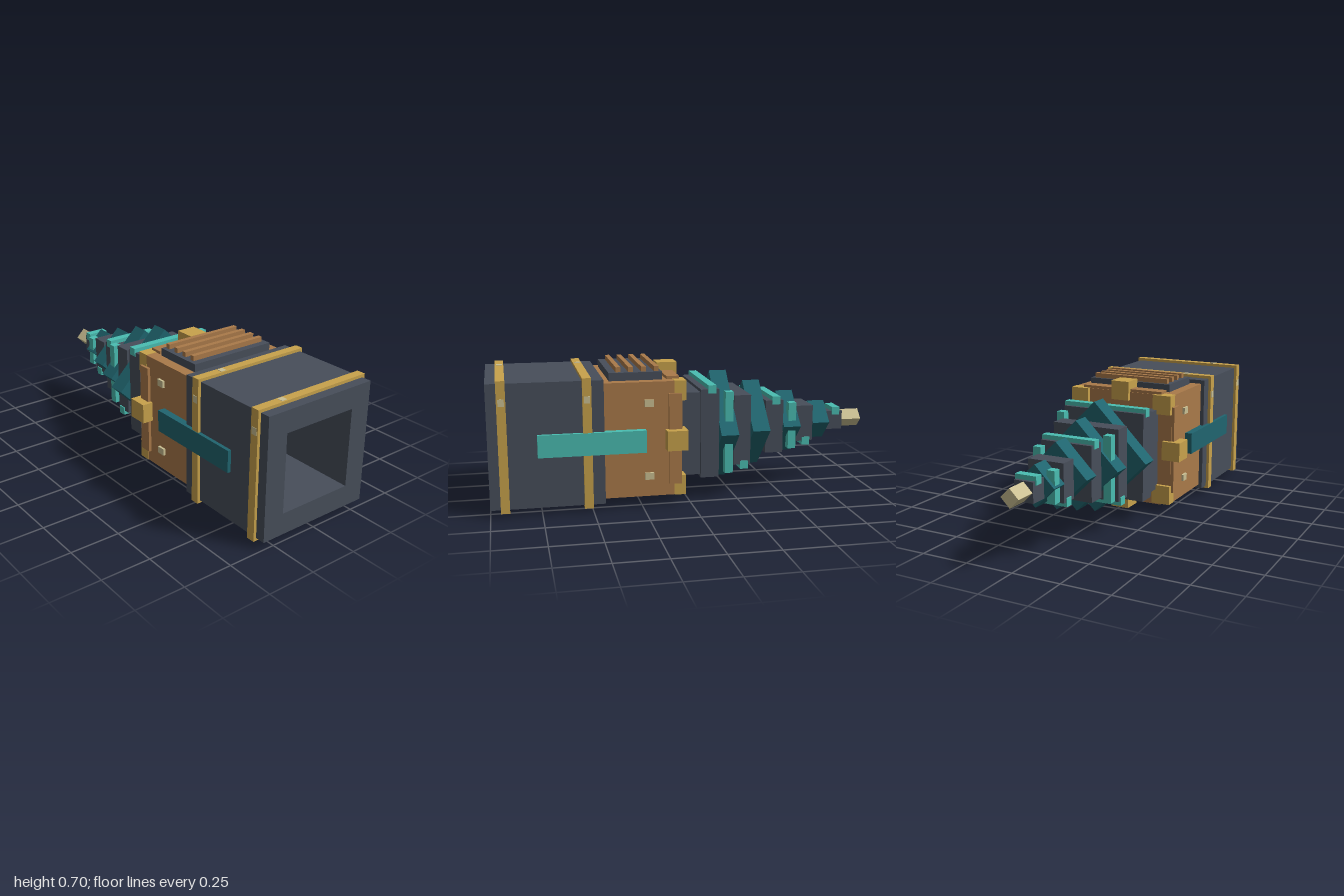
import * as THREE from 'three';

const material = (name, color) => {
  const m = new THREE.MeshStandardMaterial({ color });
  m.name = name;
  return m;
};

export function createModel() {
  const slate = material('slate', 0x474e5a);
  const copper = material('copper', 0xaa7a4a);
  const gold = material('gold', 0xc8a24c);
  const teal = material('bright teal', 0x4abdb1);
  const deepTeal = material('deep teal', 0x20656f);
  const cream = material('cream', 0xcbc093);

  const model = new THREE.Group();
  model.name = 'drillArm';
  // everything is laid out around the drill axis, which lies at y = 0.35
  const arm = new THREE.Group();
  arm.name = 'arm';
  arm.position.y = 0.35;
  model.add(arm);

  const box = (name, mat, size, pos, roll = 0) => {
    const mesh = new THREE.Mesh(new THREE.BoxGeometry(...size), mat);
    mesh.name = name;
    mesh.position.set(...pos);
    mesh.rotation.z = roll;
    arm.add(mesh);
    return mesh;
  };

  // Square ring with half widths outer and inner, from z0 to z1
  const squareFrame = (name, mat, outer, inner, z0, z1) => {
    const square = (r) => [[-r, -r], [r, -r], [r, r], [-r, r]].map((p) => new THREE.Vector2(...p));
    const shape = new THREE.Shape(square(outer));
    shape.holes.push(new THREE.Path(square(inner).reverse()));
    const geometry = new THREE.ExtrudeGeometry(shape, { depth: z1 - z0, bevelEnabled: false });
    const mesh = new THREE.Mesh(geometry, mat);
    mesh.name = name;
    mesh.position.z = z0;
    arm.add(mesh);
  };

  // Hollow sleeve with two bands
  squareFrame('sleeve', slate, 0.31, 0.2, 0.44, 1);
  for (const z of [0.523, 0.928]) {
    squareFrame('sleeveBand', gold, 0.325, 0.305, z - 0.022, z + 0.022);
    box('bandRivet', cream, [0.03, 0.006, 0.03], [-0.17, 0.324, z]);
    for (const s of [-1, 1]) box('bandRivet', cream, [0.006, 0.035, 0.03], [s * 0.324, 0.22, z]);
  }

  // Gear housing
  box('housing', copper, [0.58, 0.58, 0.39], [0, 0, 0.245]);

  // Side stripes and housing rivets
  for (const s of [-1, 1]) {
    box('sideStripe', s > 0 ? teal : deepTeal, [0.04, 0.112, 0.53], [s * 0.308, 0, 0.5]);
    for (const y of [-0.185, 0.185]) box('housingRivet', cream, [0.03, 0.035, 0.045], [s * 0.287, y, 0.217]);
  }

  // Collar: raised bars and clamps on the four sides, blocks on the corners
  for (let i = 0; i < 4; i++) {
    const a = i * Math.PI / 2;
    const around = (r, z) => [-Math.sin(a) * r, Math.cos(a) * r, z];
    box('collarBar', copper, [0.46, 0.05, 0.065], around(0.28, 0.086), a);
    box('collarClamp', gold, [0.1, 0.1, 0.105], around(0.297, 0.082), a);
    const d = a + Math.PI / 4;
    box('cornerBlock', gold, [0.1, 0.1, 0.06],
      [Math.cos(d) * 0.342, Math.sin(d) * 0.342, 0.06]);
  }

  // Top vent
  box('ventBase', slate, [0.47, 0.05, 0.265], [0, 0.305, 0.273]);
  for (const z of [0.166, 0.23, 0.294, 0.357]) box('ventBar', copper, [0.43, 0.03, 0.024], [0, 0.34, z]);

  // Drill core: square steps, front z, back z and half width
  const steps = [
    [0.06, -0.06, 0.214], [-0.06, -0.155, 0.229], [-0.245, -0.335, 0.184],
    [-0.43, -0.525, 0.14], [-0.615, -0.705, 0.096], [-0.8, -0.89, 0.05],
  ];
  for (const [z1, z0, r] of steps) box('drillStep', slate, [r * 2, r * 2, z1 - z0], [0, 0, (z0 + z1) / 2]);

  // Diamond cutters between the steps, half diagonal and centre
  for (const [z, r] of [[-0.2, 0.288], [-0.383, 0.229], [-0.57, 0.166], [-0.753, 0.103]]) {
    const side = r * Math.SQRT2;
    box('diamondCutter', deepTeal, [side, side, 0.092], [0, 0, z], Math.PI / 4);
  }

  // Cutting ridges, each a quarter turn on from the last and shorter
  for (let i = 0; i < 9; i++) {
    const a = -i * Math.PI / 2;
    const r = 0.23 - i * 0.0223;
    box('cuttingRidge', teal, [r * 2 + 0.01, 0.042, 0.042],
      [-Math.sin(a) * r, Math.cos(a) * r, -0.117 - i * 0.0918], a);
  }

  // Drill tip
  box('drillTip', cream, [0.067, 0.067, 0.11], [0, 0, -0.945], Math.PI / 4);

  return model;
}
